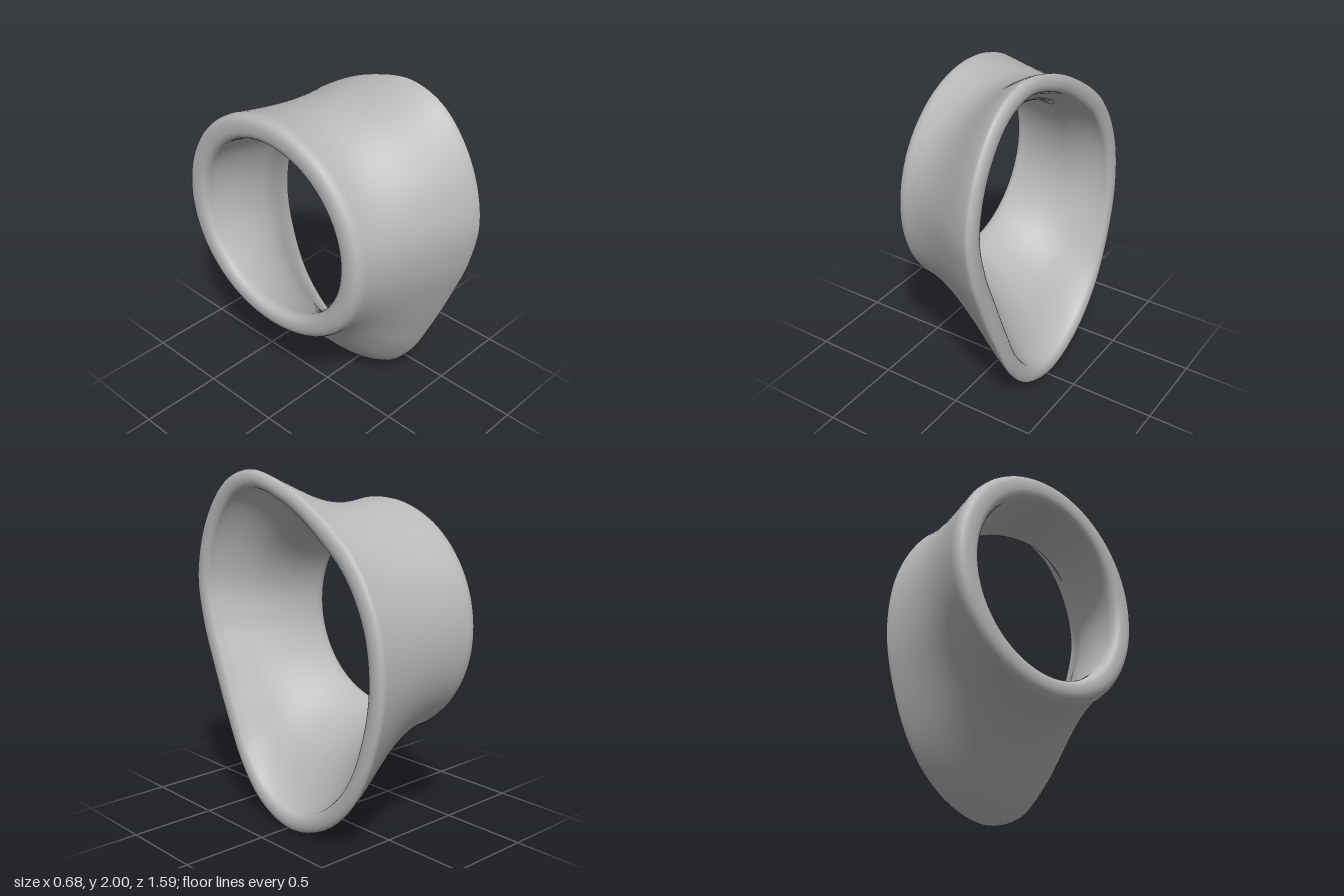
import * as THREE from 'three';

// Outline of the wide flared rim as [z, y], and the round narrow end
const RIM = [
  [0.3, 2.0], [0.52, 1.92], [0.71, 1.68], [0.797, 1.36], [0.755, 1.08], [0.66, 0.82],
  [0.53, 0.52], [0.4, 0.27], [0.22, 0.08], [-0.03, 0.0], [-0.3, 0.08], [-0.53, 0.29],
  [-0.68, 0.6], [-0.752, 0.95], [-0.705, 1.3], [-0.53, 1.6], [-0.2, 1.845], [0.05, 1.955],
];
const CENTRE = { z: -0.13, y: 1.18 }, NARROW_RADIUS = 0.665;
const NARROW_WALL = 0.142, RIM_WALL = 0.112, X0 = -0.28, X1 = 0.305;
const AROUND = 180, ALONG = 32, CAP = 12;
const { lerp, smoothstep, clamp } = THREE.MathUtils;

// Closed wall section: x, position t along the wall, depth 0 (outside) to 1 (inside)
function wallSection() {
  const pts = [], span = X1 - X0;
  for (let i = 0; i < ALONG; i++) pts.push({ x: X0 + span * i / ALONG, t: i / ALONG, depth: 0 });
  for (let i = 0; i < CAP; i++) {
    const a = Math.PI * i / CAP;
    pts.push({ x: X1 + 0.033 * Math.sin(a), t: 1, depth: 0.5 - 0.5 * Math.cos(a) });
  }
  for (let i = 0; i < ALONG; i++) pts.push({ x: X1 - span * i / ALONG, t: 1 - i / ALONG, depth: 1 });
  for (let i = 0; i < CAP; i++) {
    // squarer round-over on the narrow end
    const a = Math.PI * i / CAP, c = Math.cos(a);
    const x = X0 - 0.06 * Math.pow(Math.sin(a), 0.8);
    pts.push({ x, t: (x - X0) / span, depth: 0.5 + 0.5 * Math.sign(c) * Math.pow(Math.abs(c), 0.8) });
  }
  return pts;
}

// Outer radius at t, for a direction (cz, sy) from the centre
function outerRadius(t, rimRadius, cz, sy) {
  // the flare starts later towards the top
  const u = Math.pow(clamp(t, 0, 1), 1 + 0.8 * Math.max(0, sy) ** 2);
  const s = lerp(u, smoothstep(u, 0, 1), 0.5);
  const waist = 0.032 - 0.014 * Math.max(0, cz);
  // below t = 0 the lower and front walls keep tapering into the narrow end
  const taper = 0.6 * Math.min(0, t) * Math.max(0, rimRadius - NARROW_RADIUS) * (1 - Math.max(0, sy));
  return lerp(NARROW_RADIUS, rimRadius, s) - waist * Math.sin(Math.PI * clamp(t, 0, 1)) + taper;
}

// Sweep the section around, blending the round end into the rim
function flaredRing() {
  const curve = new THREE.CatmullRomCurve3(
    RIM.map(([z, y]) => new THREE.Vector3(0, y, z)), true);
  const rim = curve.getSpacedPoints(AROUND);
  const section = wallSection(), n = section.length;
  const position = [], index = [];
  for (let j = 0; j < AROUND; j++) {
    const dz = rim[j].z - CENTRE.z, dy = rim[j].y - CENTRE.y;
    const rimRadius = Math.hypot(dz, dy), cz = dz / rimRadius, sy = dy / rimRadius;
    const outer = (t) => outerRadius(t, rimRadius, cz, sy);
    section.forEach(({ x, t, depth }, i) => {
      // sloping wall keeps its thickness, and thins towards the rim
      const slope = (outer(t + 0.01) - outer(t - 0.01)) / (0.02 * (X1 - X0));
      const bulk = 0.7 * (Math.hypot(1, slope) - 1) * Math.sin(Math.PI * clamp(t, 0, 1));
      const wall = lerp(NARROW_WALL, RIM_WALL, smoothstep(t, 0.6, 1)) * (1 + bulk);
      const inner = outer(Math.max(0, t)) - wall;
      const r = lerp(outer(t), inner, depth);
      position.push(x, CENTRE.y + sy * r, CENTRE.z + cz * r);
      const j2 = (j + 1) % AROUND, i2 = (i + 1) % n;
      const a = j * n + i, b = j2 * n + i, c = j * n + i2, d = j2 * n + i2;
      index.push(a, b, c, b, d, c);
    });
  }
  const geometry = new THREE.BufferGeometry();
  geometry.setAttribute('position', new THREE.Float32BufferAttribute(position, 3));
  geometry.setIndex(index);
  geometry.computeVertexNormals();
  return geometry;
}

export function createModel() {
  const group = new THREE.Group();
  group.name = 'flaredRingModel';
  const grey = new THREE.MeshStandardMaterial({ color: 0xb8b8b8 });
  grey.name = 'grey';
  const ring = new THREE.Mesh(flaredRing(), grey);
  ring.name = 'flaredRing';
  group.add(ring);
  return group;
}
